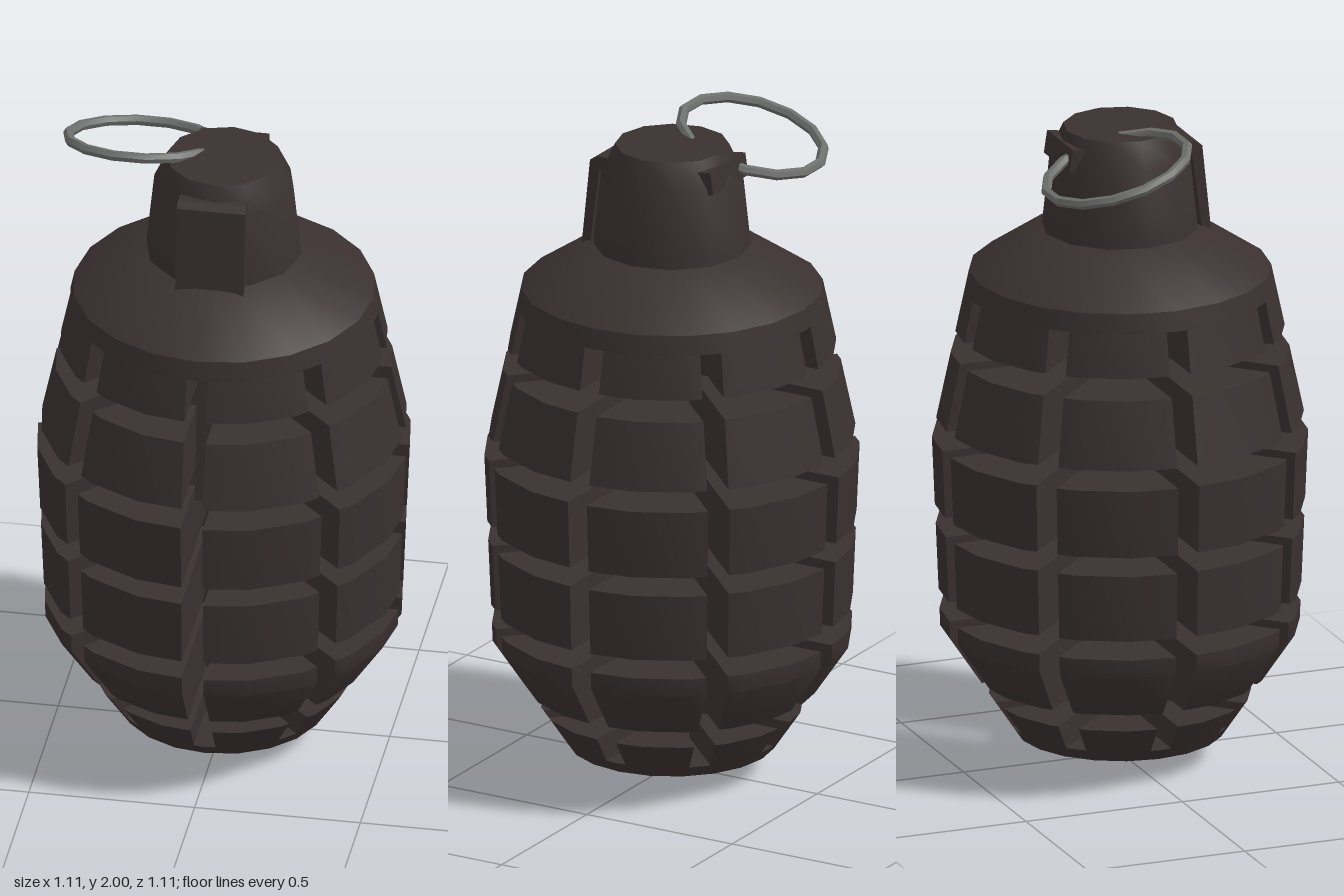
import * as THREE from 'three';
import { toCreasedNormals } from 'three/addons/utils/BufferGeometryUtils.js';

const SIDES = 20;
const STEP = (Math.PI * 2) / SIDES;
const SLOT = 0.033; // half width of the vertical slots
const CREASE = 0.6;

// body outline as [radius, height]
const OUTLINE = [[0, 0], [0.31, 0.075], [0.535, 0.41], [0.56, 1.0], [0.45, 1.52], [0.255, 1.65]];

function radiusAt(y) {
  for (let i = 1; i < OUTLINE.length; i++) {
    const [r0, y0] = OUTLINE[i - 1], [r1, y1] = OUTLINE[i];
    if (y <= y1) return r0 + ((r1 - r0) * (y - y0)) / (y1 - y0);
  }
  return 0;
}

function lathe(points, sides) {
  const pts = points.map(([r, y]) => new THREE.Vector2(r, y));
  return toCreasedNormals(new THREE.LatheGeometry(pts, sides), CREASE);
}

// distance from the axis to the edge of the regular body polygon
function polygonRadius(R, angle) {
  const a = ((angle % STEP) + STEP) % STEP;
  return (R * Math.cos(STEP / 2)) / Math.cos(a - STEP / 2);
}

// cross-section of one wedge between two neighbouring slots
function wedgeLoop(octant, y) {
  const R = radiusAt(y), a0 = (octant * Math.PI) / 4, a1 = a0 + Math.PI / 4;
  const inset = Math.asin(SLOT / R);
  const at = (a, r) => [Math.cos(a) * r, y, Math.sin(a) * r];
  const angles = [a0 + inset];
  for (let k = 0; k < SIDES; k++) {
    const a = k * STEP;
    if (a > a0 + 0.04 && a < a1 - 0.04) angles.push(a);
  }
  angles.push(a1 - inset);
  const apex = at((a0 + a1) / 2, SLOT / Math.sin(Math.PI / 8));
  return [apex, ...angles.map((a) => at(a, polygonRadius(R, a)))];
}

function wedgeGeometry(octant, y0, y1) {
  const levels = [y0, ...OUTLINE.map((p) => p[1]).filter((y) => y > y0 && y < y1), y1];
  const loops = levels.map((y) => wedgeLoop(octant, y));
  const pos = [];
  const tri = (a, b, c) => pos.push(...a, ...b, ...c);
  const n = loops[0].length;
  for (let l = 0; l < loops.length - 1; l++) {
    const lo = loops[l], hi = loops[l + 1];
    for (let i = 0; i < n; i++) {
      const j = (i + 1) % n;
      tri(lo[i], hi[i], hi[j]);
      tri(lo[i], hi[j], lo[j]);
    }
  }
  const bottom = loops[0], top = loops[loops.length - 1];
  for (let i = 1; i < n - 1; i++) {
    tri(bottom[0], bottom[i], bottom[i + 1]);
    tri(top[0], top[i + 1], top[i]);
  }
  const g = new THREE.BufferGeometry();
  g.setAttribute('position', new THREE.Float32BufferAttribute(pos, 3));
  return toCreasedNormals(g, CREASE);
}

export function createModel() {
  const model = new THREE.Group();
  const iron = new THREE.MeshStandardMaterial({ color: 0x3a3030 });
  iron.name = 'dark iron';
  const steel = new THREE.MeshStandardMaterial({ color: 0x6e706e });
  steel.name = 'grey steel';

  function add(name, geometry, material, parent = model) {
    const mesh = new THREE.Mesh(geometry, material);
    mesh.name = name;
    parent.add(mesh);
    return mesh;
  }

  // uncut ends of the body
  add('bodyBase', lathe([[0, 0], [0.31, 0.075], [radiusAt(0.11), 0.11], [0, 0.11]], SIDES), iron);
  add('shoulder', lathe([[0, 1.46], [radiusAt(1.46), 1.46], [0.45, 1.52], [0.255, 1.65], [0, 1.65]], SIDES), iron);

  // rows of wedges separated by slots
  const rows = [[0.11, 0.195], [0.26, 0.465], [0.525, 0.73], [0.79, 1.0], [1.06, 1.265], [1.33, 1.46]];
  rows.forEach(([y0, y1], i) => {
    const row = new THREE.Group();
    row.name = `segmentRow${i + 1}`;
    for (let o = 0; o < 8; o++) add('segment', wedgeGeometry(o, y0, y1), iron, row);
    model.add(row);
  });

  // tapered neck with a bevelled top
  add('neck', lathe([[0, 1.64], [0.235, 1.64], [0.21, 1.88], [0.17, 1.965], [0, 1.965]], 12), iron);

  // bent lever running down into the body, drawn in side profile (z, y)
  const profile = [[0.15, 1.92], [0.2, 1.92], [0.222, 1.905], [0.25, 1.64], [0.308, 0.95],
    [0.28, 0.95], [0.222, 1.64], [0.19, 1.88], [0.15, 1.88]];
  const leverShape = new THREE.Shape(profile.map(([z, y]) => new THREE.Vector2(z, y)));
  const leverGeometry = new THREE.ExtrudeGeometry(leverShape, { depth: 0.206, bevelEnabled: false });
  leverGeometry.translate(0, 0, -0.103);
  leverGeometry.rotateY(-Math.PI / 2);
  add('lever', leverGeometry, iron);

  // small bar across the back of the neck
  const bar = add('backBar', new THREE.BoxGeometry(0.206, 0.07, 0.045), iron);
  bar.position.set(0, 1.902, -0.175);
  bar.rotation.x = 0.15;

  // tilted pull ring passing through the neck
  const ring = add('pullRing', toCreasedNormals(new THREE.TorusGeometry(0.22, 0.016, 6, 14), CREASE), steel);
  ring.position.set(-0.27, 1.925, -0.118);
  ring.rotation.x = Math.PI / 2 - 0.29;

  return model;
}
